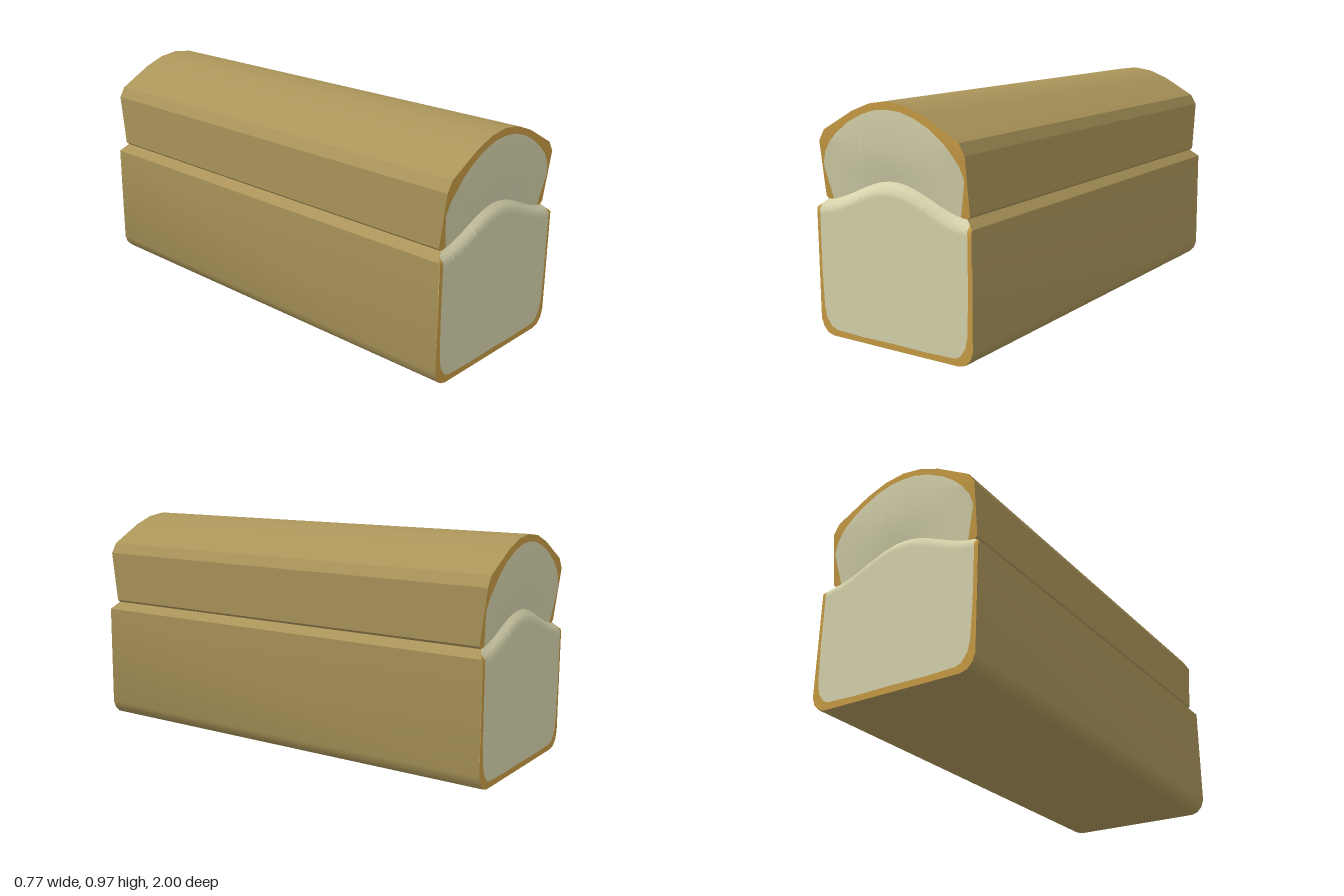
import * as THREE from 'three';
import { toCreasedNormals } from 'three/addons/utils/BufferGeometryUtils.js';

const DEPTH = 0.03; // how far the crease sinks into each end

// half profiles, [x, y] from the middle outwards
const TOP = [[0, 0.974], [0.09, 0.962], [0.18, 0.928], [0.33, 0.845], [0.357, 0.8]];
const BOTTOM = [[0, 0], [0.318, 0], [0.348, 0.009], [0.371, 0.032], [0.383, 0.066]];
const CRUMB_TOP = [[0, 0.943], [0.06, 0.939], [0.13, 0.918], [0.2, 0.884], [0.26, 0.84], [0.3, 0.8], [0.33, 0.758], [0.345, 0.715]];
const CRUMB_BOTTOM = [[0, 0.027], [0.16, 0.025], [0.3, 0.029], [0.325, 0.04], [0.35, 0.075], [0.36, 0.12], [0.366, 0.28]];

// height on a half profile at x
function at(profile, x) {
  x = Math.abs(x);
  for (let i = 1; i < profile.length; i++) {
    const [x0, y0] = profile[i - 1], [x1, y1] = profile[i];
    if (x <= x1) return y0 + (y1 - y0) * (x - x0) / (x1 - x0);
  }
  return profile[profile.length - 1][1];
}

// arched crease between the base and the crown
const crease = x => 0.56 + 0.0525 * (Math.cos(Math.PI * Math.min(Math.abs(x) / 0.37, 1)) + 1);

// distance of the end surface from the middle of the loaf
function endZ(x, y, upper) {
  const c = crease(x);
  const t = upper ? (0.8 - y) / (0.8 - c) : (y - c + 0.035) / 0.035;
  return 1 - DEPTH * THREE.MathUtils.clamp(t, 0, 1);
}

function surface(rows, flip) {
  const pos = [], index = [], n = rows[0].length;
  rows.forEach(r => r.forEach(p => pos.push(...p)));
  for (let i = 0; i < rows.length - 1; i++) {
    for (let j = 0; j < n - 1; j++) {
      const a = i * n + j, b = a + 1, c = a + n, d = c + 1;
      if (flip) index.push(a, b, c, b, d, c);
      else index.push(a, c, b, b, c, d);
    }
  }
  const g = new THREE.BufferGeometry();
  g.setAttribute('position', new THREE.Float32BufferAttribute(pos, 3));
  g.setIndex(index);
  g.computeVertexNormals();
  return g;
}

// columns across the width, including all profile corners
function columns(width, ...profiles) {
  const xs = new Set([0, width]);
  for (let i = 1; i < 16; i++) xs.add(width * i / 16);
  profiles.forEach(p => p.forEach(([x]) => { if (x < width) xs.add(x); }));
  const half = [...xs].sort((a, b) => a - b);
  return [...half.slice(1).reverse().map(x => -x), ...half];
}

// end surface between two height functions
function endSurface(xs, low, high, upper, sign, lift) {
  const rows = xs.map(x => {
    const lo = low(x), hi = high(x), c = crease(x);
    const mids = upper ? [0.7, 0.8] : [0.3, c - 0.055, c - 0.035, c - 0.017];
    return [lo, ...mids, hi].map(v => {
      const y = THREE.MathUtils.clamp(v, lo, hi);
      return [x, y, sign * (endZ(x, y, upper) + lift)];
    });
  });
  return surface(rows, sign < 0);
}

export function createModel() {
  const crust = new THREE.MeshStandardMaterial({ color: 0xab955a });
  crust.name = 'brown crust';
  const rim = new THREE.MeshStandardMaterial({ color: 0xca9d45 });
  rim.name = 'golden crust rim';
  const crumb = new THREE.MeshStandardMaterial({ color: 0xd8d5ae });
  crumb.name = 'cream crumb';

  const loaf = new THREE.Group();
  loaf.name = 'breadLoaf';
  const add = (name, geometry, material) => {
    const mesh = new THREE.Mesh(geometry, material);
    mesh.name = name;
    loaf.add(mesh);
  };

  // crust wall swept along the loaf, with a notch along each side
  const right = [...BOTTOM, [0.383, 0.53], [0.345, 0.562], [0.357, 0.573], ...TOP.slice().reverse()];
  const left = right.slice(0, -1).reverse().map(([x, y]) => [-x, y]);
  const wall = [...right, ...left].map(([x, y]) => {
    const z = endZ(x, y, y > 0.561);
    return [[x, y, z], [x, y, -z]];
  });
  add('crustWall', toCreasedNormals(surface(wall, true).toNonIndexed(), 0.5), crust);
  loaf.children[0].material.side = THREE.DoubleSide;

  // limits of the two halves of each end
  const baseHigh = x => Math.abs(x) < 0.345 ? crease(x) : at([[0.345, 0.562], [0.383, 0.53]], x);
  const crownLow = x => Math.abs(x) < 0.345 ? crease(x) : at([[0.345, 0.562], [0.357, 0.573]], x);
  const crumbLow = x => Math.abs(x) < 0.316 ? crease(x)
    : at([[0.316, crease(0.316)], [0.325, 0.605], [0.335, 0.65], [0.345, 0.695]], x);

  for (const [end, sign] of [['front', 1], ['back', -1]]) {
    add(end + 'BaseRim', endSurface(columns(0.383, BOTTOM, [[0.345]]), x => at(BOTTOM, x), baseHigh, false, sign, 0), rim);
    add(end + 'CrownRim', endSurface(columns(0.357, TOP, [[0.345]]), crownLow, x => at(TOP, x), true, sign, 0), rim);
    // crumb plates just proud of the rim
    add(end + 'BaseCrumb', endSurface(columns(0.366, CRUMB_BOTTOM, [[0.345]]), x => at(CRUMB_BOTTOM, x), baseHigh, false, sign, 0.002), crumb);
    add(end + 'CrownCrumb', endSurface(columns(0.345, CRUMB_TOP, [[0.316], [0.325], [0.335]]), crumbLow, x => at(CRUMB_TOP, x), true, sign, 0.002), crumb);
  }
  return loaf;
}
